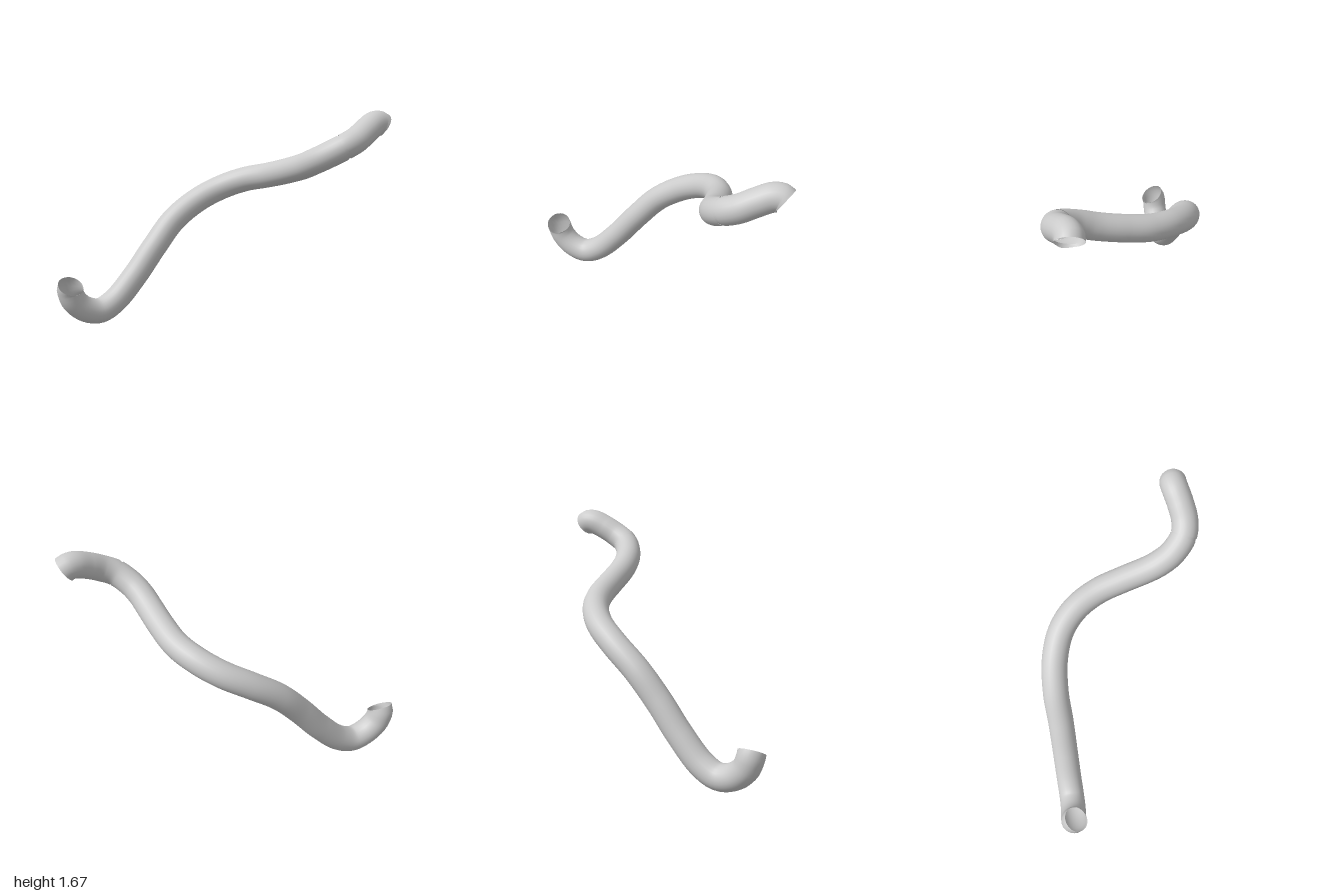
import * as THREE from 'three';

const RADIUS = 0.1;
const SIDES = 24;

// Centre line of the hose, from the low front end to the high rear end
const CENTRE_LINE = [
  [-0.76, 0.34, 0.90], [-0.776, 0.315, 0.898], [-0.775, 0.22, 0.865], [-0.75, 0.135, 0.78],
  [-0.72, 0.10, 0.66], [-0.69, 0.16, 0.53], [-0.645, 0.34, 0.355], [-0.60, 0.56, 0.18],
  [-0.56, 0.76, 0.0], [-0.48, 0.91, -0.2], [-0.36, 1.01, -0.36], [-0.2, 1.08, -0.46],
  [0, 1.13, -0.507], [0.2, 1.185, -0.50], [0.4, 1.25, -0.48], [0.5, 1.295, -0.477],
  [0.6, 1.345, -0.495], [0.71, 1.415, -0.56], [0.755, 1.465, -0.65], [0.765, 1.525, -0.76],
  [0.765, 1.567, -0.86], [0.77, 1.567, -0.917], [0.78, 1.55, -0.94],
].map((p) => new THREE.Vector3(...p));
const SEAM = CENTRE_LINE[17];

// A stretch of a longer curve, measured by arc length
class CurveSection extends THREE.Curve {
  constructor(path, from, to) {
    super();
    Object.assign(this, { path, from, to });
  }

  getPoint(t, target = new THREE.Vector3()) {
    return this.path.getPointAt(THREE.MathUtils.lerp(this.from, this.to, t), target);
  }
}

export function createModel() {
  const group = new THREE.Group();
  group.name = 'bentHose';
  const material = new THREE.MeshStandardMaterial({ color: 0xcccccc, side: THREE.DoubleSide });

  const path = new THREE.CatmullRomCurve3(CENTRE_LINE);
  path.arcLengthDivisions = 1000;

  // Find how far along the path the seam lies
  let seam = 0;
  let nearest = Infinity;
  for (let i = 0; i <= 1000; i++) {
    const distance = path.getPointAt(i / 1000).distanceTo(SEAM);
    if (distance < nearest) {
      nearest = distance;
      seam = i / 1000;
    }
  }

  const addTube = (name, from, to, segments, radius) => {
    const section = new CurveSection(path, from, to);
    const mesh = new THREE.Mesh(new THREE.TubeGeometry(section, segments, radius, SIDES), material);
    mesh.name = name;
    group.add(mesh);
  };

  // Two open tubes, with a slightly recessed collar in the narrow gap between them
  const gap = 0.002;
  addTube('mainTube', 0, seam - gap, 100, RADIUS);
  addTube('seamCollar', seam - 2 * gap, seam + 2 * gap, 2, RADIUS * 0.95);
  addTube('endTube', seam + gap, 1, 28, RADIUS);

  return group;
}
